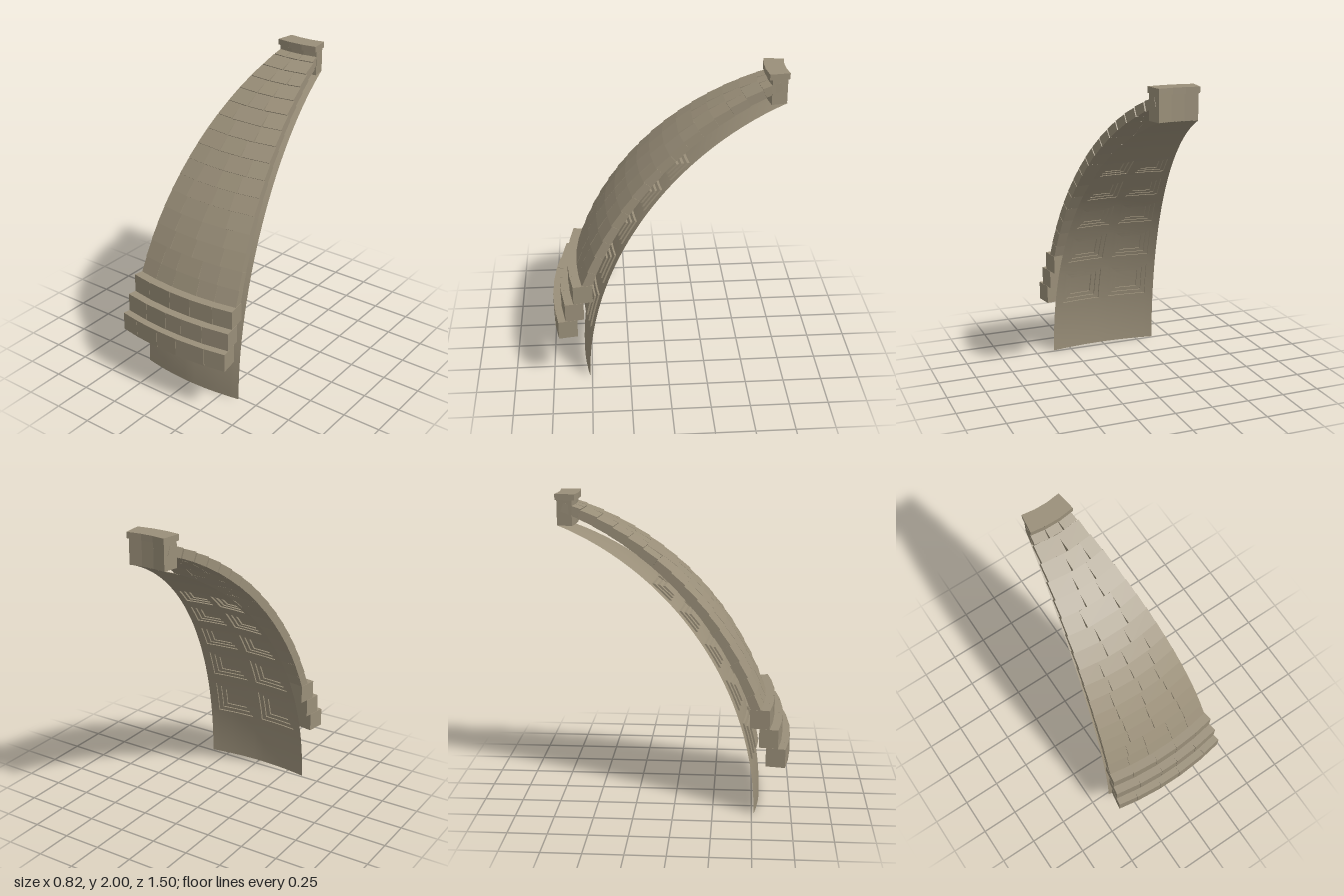
import * as THREE from 'three';
import { mergeGeometries, mergeVertices } from 'three/addons/utils/BufferGeometryUtils.js';

const RAD = Math.PI / 180;
const HALF = 11.25;        // half angle of the wedge, degrees
const AXIS_Z = -1.36;      // vertical axis of the dome
const R_IN = 1.91;         // radius of the inner shell

// Point on the inner sphere, pushed outwards horizontally by d
function onShell(phi, el, d = 0) {
  const r = R_IN * Math.cos(el * RAD) + d;
  return new THREE.Vector3(r * Math.sin(phi * RAD), R_IN * Math.sin(el * RAD), r * Math.cos(phi * RAD) + AXIS_Z);
}

// Grid surface from a rule of u and v
function surface(fn, nu, nv) {
  const pos = [], idx = [];
  for (let j = 0; j <= nv; j++)
    for (let i = 0; i <= nu; i++) pos.push(...fn(i / nu, j / nv).toArray());
  for (let j = 0; j < nv; j++)
    for (let i = 0; i < nu; i++) {
      const a = j * (nu + 1) + i, b = a + 1, c = a + nu + 1, d = c + 1;
      idx.push(a, b, d, a, d, c);
    }
  const g = new THREE.BufferGeometry();
  g.setAttribute('position', new THREE.Float32BufferAttribute(pos, 3));
  g.setIndex(idx);
  g.computeVertexNormals();
  return g;
}

const lerp = THREE.MathUtils.lerp;
const patch = (p0, p1, e0, e1, d = 0) =>
  surface((u, v) => onShell(lerp(p0, p1, u), lerp(e0, e1, v), d), 3, 3);

// Straight-sided block centred on angle phi; section(v, w) gives [radius, y]
function block(phi0, phi1, section, mix) {
  const g = new THREE.BoxGeometry(1, 1, 1);
  const p = g.attributes.position;
  const c = (phi0 + phi1) / 2 * RAD, t = Math.tan((phi1 - phi0) / 2 * RAD);
  for (let i = 0; i < p.count; i++) {
    const [r, y] = section(p.getY(i) + 0.5, p.getZ(i) + 0.5);
    const x = p.getX(i) * 2 * t * (mix === null ? r : mix);
    p.setXYZ(i, x * Math.cos(c) + r * Math.sin(c), y, r * Math.cos(c) - x * Math.sin(c) + AXIS_Z);
  }
  g.computeVertexNormals();
  return g;
}

// Row of blocks; seams are fractions of the half angle, mix is the radius where joints close
function course(seams, section, mix) {
  const s = [-1, ...seams, 1].map((f) => f * HALF);
  return mergeGeometries(s.slice(1).map((b, i) => block(s[i], b, section, mix)));
}

const COFFER_ROWS = [[10.6, 17.8], [20.5, 26.8], [29.5, 34.8], [37.5, 42.6], [45.2, 49.8]];
const COFFER_COLS = [[-9.4, -1.1], [1.1, 9.4]];

function shellGeometry() {
  const els = [0, 3.5, 7, ...COFFER_ROWS.flat(), 57, 64, 70.9];
  const phis = [-HALF, ...COFFER_COLS.flat(), HALF];
  const parts = [];
  for (let j = 0; j < els.length - 1; j++)
    for (let i = 0; i < phis.length - 1; i++) {
      const hole = COFFER_ROWS.some((r) => r[0] === els[j]) && i % 2 === 1;
      if (!hole) parts.push(patch(phis[i], phis[i + 1], els[j], els[j + 1]));
    }
  const g = mergeGeometries(parts);
  g.deleteAttribute('normal');
  const merged = mergeVertices(g, 1e-5);
  merged.computeVertexNormals();
  return merged;
}

// Stepped recess: walls and ledges shrinking towards a back panel
function cofferGeometry([p0, p1], [e0, e1]) {
  const depth = 0.033 / Math.cos((e0 + e1) / 2 * RAD), levels = 3;
  const rect = (k) => {
    const f = 0.11 * k, dp = (p1 - p0) * f, de = (e1 - e0) * f;
    return [p0 + dp, p1 - dp, e0 + de, e1 - de];
  };
  const corners = ([a, b, c, d]) => [[a, c], [b, c], [b, d], [a, d]];
  const parts = [];
  const band = (ra, da, rb, db) => {
    const A = corners(ra), B = corners(rb);
    for (let i = 0; i < 4; i++) {
      const n = (i + 1) % 4;
      parts.push(surface((u, v) => onShell(
        lerp(lerp(A[i][0], A[n][0], u), lerp(B[i][0], B[n][0], u), v),
        lerp(lerp(A[i][1], A[n][1], u), lerp(B[i][1], B[n][1], u), v),
        lerp(da, db, v)), 3, 1));
    }
  };
  for (let k = 0; k < levels; k++) {
    const d0 = depth * k / levels, d1 = depth * (k + 1) / levels;
    band(rect(k), d0, rect(k), d1);
    if (k < levels - 1) band(rect(k), d1, rect(k + 1), d1);
  }
  parts.push(patch(...rect(levels - 1), depth));
  return mergeGeometries(parts);
}

// Tile joints, from the lowest row to the highest
const TILE_SEAMS = [
  [-0.63, -0.25, 0.25, 0.6], [-0.6, -0.25, 0.23, 0.6], [-0.5, 0, 0.58], [-0.52, -0.02, 0.55],
  [-0.55, 0, 0.5], [-0.57, 0.05, 0.46], [-0.5, 0, 0.5], [-0.55, 0, 0.58],
  [-0.31, 0.27], [-0.33, 0.43], [-0.49, 0.45], [-0.28, 0.26],
  [-0.27, 0.31], [-0.17, 0.5], [0], [-0.35, 0.3],
];

export function createModel() {
  const root = new THREE.Group();
  root.name = 'domeSegment';
  const stone = new THREE.MeshStandardMaterial({ color: 0x9a8f79 });
  stone.name = 'stone';
  stone.side = THREE.DoubleSide;
  const add = (name, geo, parent = root) => {
    const m = new THREE.Mesh(geo, stone);
    m.name = name;
    parent.add(m);
  };
  const group = (name) => {
    const g = new THREE.Group();
    g.name = name;
    root.add(g);
    return g;
  };

  // Inner shell with two columns of coffers
  add('innerShell', shellGeometry());
  const coffers = group('coffers');
  COFFER_ROWS.forEach((row) => COFFER_COLS.forEach((col) => add('coffer', cofferGeometry(col, row), coffers)));

  // Outer skin of tiles, each row's lower lip slightly raised
  const tiles = group('outerTiles');
  const E0 = 19.6, STEP = 3.206;
  TILE_SEAMS.forEach((seams, i) => {
    const e0 = E0 + i * STEP, e1 = e0 + STEP;
    const mix = 2.04 * Math.cos(lerp(e0, e1, 0.65) * RAD);
    add('tileRow', course(seams, (v, w) => {
      const e = lerp(e0, e1, v) * RAD, R = lerp(2.002, 2.058 + 0.006 * (1 - v), w);
      return [R * Math.cos(e), R * Math.sin(e)];
    }, mix), tiles);
  });

  // Three stepped courses at the foot of the tiles
  const steps = group('steppedCourses');
  const ring = (name, seams, r0, r1, y0, y1, mix, parent) =>
    add(name, course(seams, (v, w) => [lerp(r0, r1, w), lerp(y0, y1, v)], mix), parent);
  ring('lowerStep', [-0.68, -0.24, 0.13, 0.65], 1.98, 2.103, 0.333, 0.455, 2.07, steps);
  ring('middleStep', [-0.57, -0.15, 0.15, 0.54], 1.935, 2.055, 0.455, 0.577, 2.02, steps);
  ring('upperStep', [-0.63, -0.18, 0.22, 0.65], 1.875, 2.0, 0.577, 0.7, 1.97, steps);

  // Ring around the opening, with its cap
  const crown = group('crownRing');
  ring('crownBlock', [-0.33, 0.33], 0.628, 0.727, 1.803, 1.965, null, crown);
  ring('crownCap', [-0.38, 0.3], 0.618, 0.745, 1.962, 2.0, 0.735, crown);
  return root;
}
